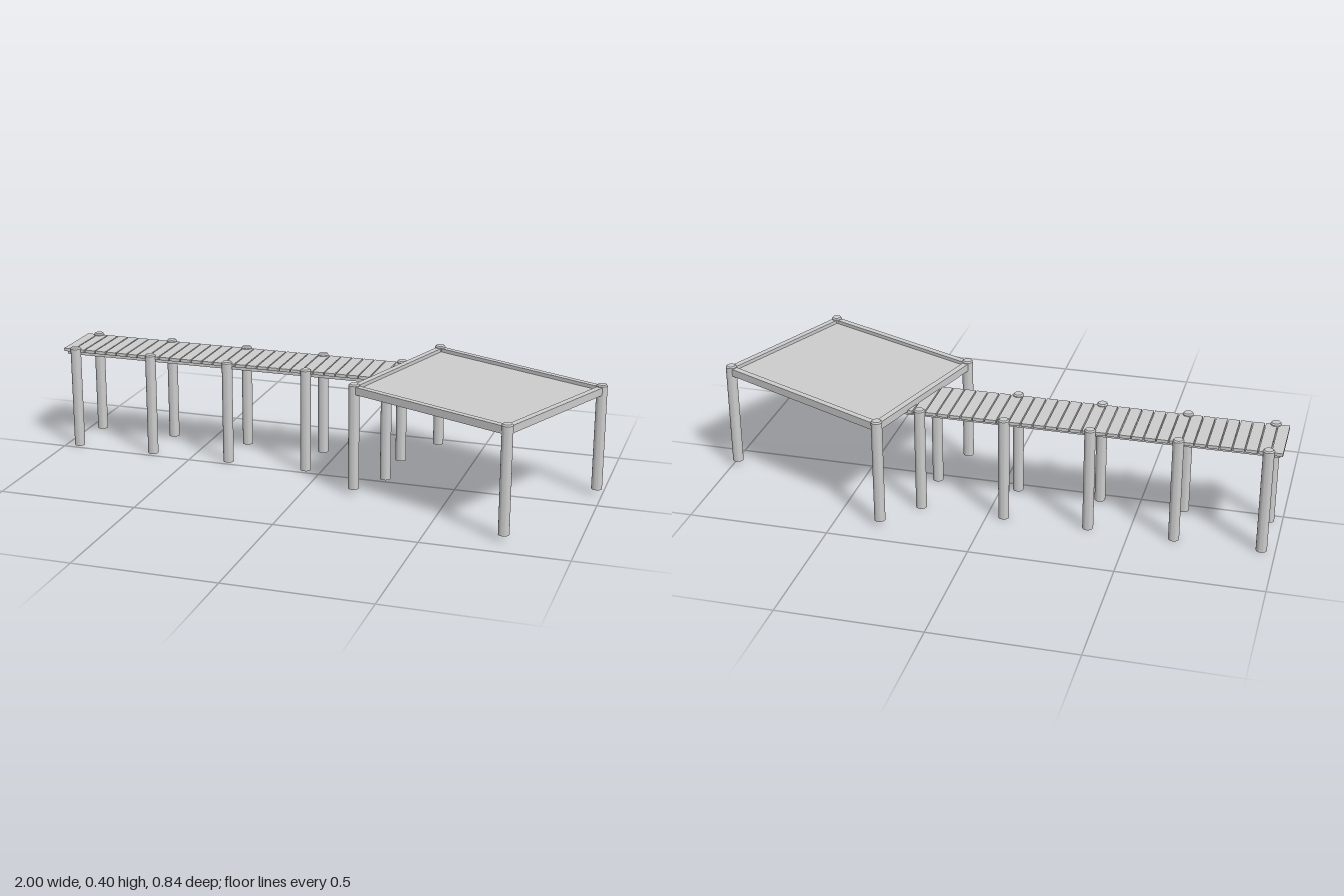
import * as THREE from 'three';
import { toCreasedNormals } from 'three/addons/utils/BufferGeometryUtils.js';

const material = new THREE.MeshStandardMaterial({ color: 0xcccccc });

function add(parent, geometry, name, x, y, z) {
  const mesh = new THREE.Mesh(geometry, material);
  mesh.name = name;
  mesh.position.set(x, y, z);
  parent.add(mesh);
  return mesh;
}

// Round post with a slightly bevelled top
function postGeometry(height, radius = 0.019) {
  const profile = [
    [0, 0], [radius, 0], [radius, height - 0.005], [radius - 0.004, height], [0, height],
  ].map(([r, y]) => new THREE.Vector2(r, y));
  return toCreasedNormals(new THREE.LatheGeometry(profile, 20), 0.5);
}

// Box between two y levels and two z limits, running along x
function addBar(parent, name, [x0, x1], [y0, y1], [z0, z1]) {
  const geometry = new THREE.BoxGeometry(x1 - x0, y1 - y0, z1 - z0);
  return add(parent, geometry, name, (x0 + x1) / 2, (y0 + y1) / 2, (z0 + z1) / 2);
}

function createWalkway() {
  const walkway = new THREE.Group();
  walkway.name = 'walkway';

  // Cross planks with narrow gaps
  const count = 35, start = -1, end = 0.47, gap = 0.004;
  const pitch = (end - start + gap) / count;
  for (let i = 0; i < count; i++) {
    const x = start + i * pitch;
    addBar(walkway, 'plank', [x, x + pitch - gap], [0.361, 0.372], [-0.244, -0.034]);
  }

  // Stringers under the planks
  const run = [-0.99, 0.47];
  addBar(walkway, 'frontStringer', run, [0.349, 0.361], [-0.122, -0.043]);
  addBar(walkway, 'backStringer', run, [0.349, 0.361], [-0.23, -0.16]);
  addBar(walkway, 'deepStringer', run, [0.335, 0.361], [-0.182, -0.15]);

  // Paired posts
  const post = postGeometry(0.38);
  for (let i = 0; i < 5; i++) {
    for (const z of [-0.034, -0.241]) add(walkway, post, 'walkwayPost', -0.953 + i * 0.298, 0, z);
  }
  return walkway;
}

function createPlatform() {
  const platform = new THREE.Group();
  platform.name = 'platform';
  const corners = [[0.34, -0.4], [0.98, -0.11], [0.76, 0.398], [0.174, 0.144]]
    .map(([x, z]) => new THREE.Vector2(x, z));

  // Recessed deck panel
  const deck = new THREE.ExtrudeGeometry(new THREE.Shape(corners), { depth: 0.006, bevelEnabled: false });
  deck.rotateX(Math.PI / 2);
  add(platform, deck, 'deck', 0, 0.381, 0);

  // Corner posts and the edge beams joining them
  const post = postGeometry(0.38);
  corners.forEach((a, i) => {
    add(platform, post, 'platformPost', a.x, 0.021, a.y);
    const b = corners[(i + 1) % corners.length];
    const beam = add(platform, new THREE.BoxGeometry(a.distanceTo(b), 0.027, 0.022), 'edgeBeam',
      (a.x + b.x) / 2, 0.38, (a.y + b.y) / 2);
    beam.rotation.y = -Math.atan2(b.y - a.y, b.x - a.x);
  });
  return platform;
}

export function createModel() {
  const model = new THREE.Group();
  model.name = 'pier';
  model.add(createWalkway(), createPlatform());
  return model;
}
